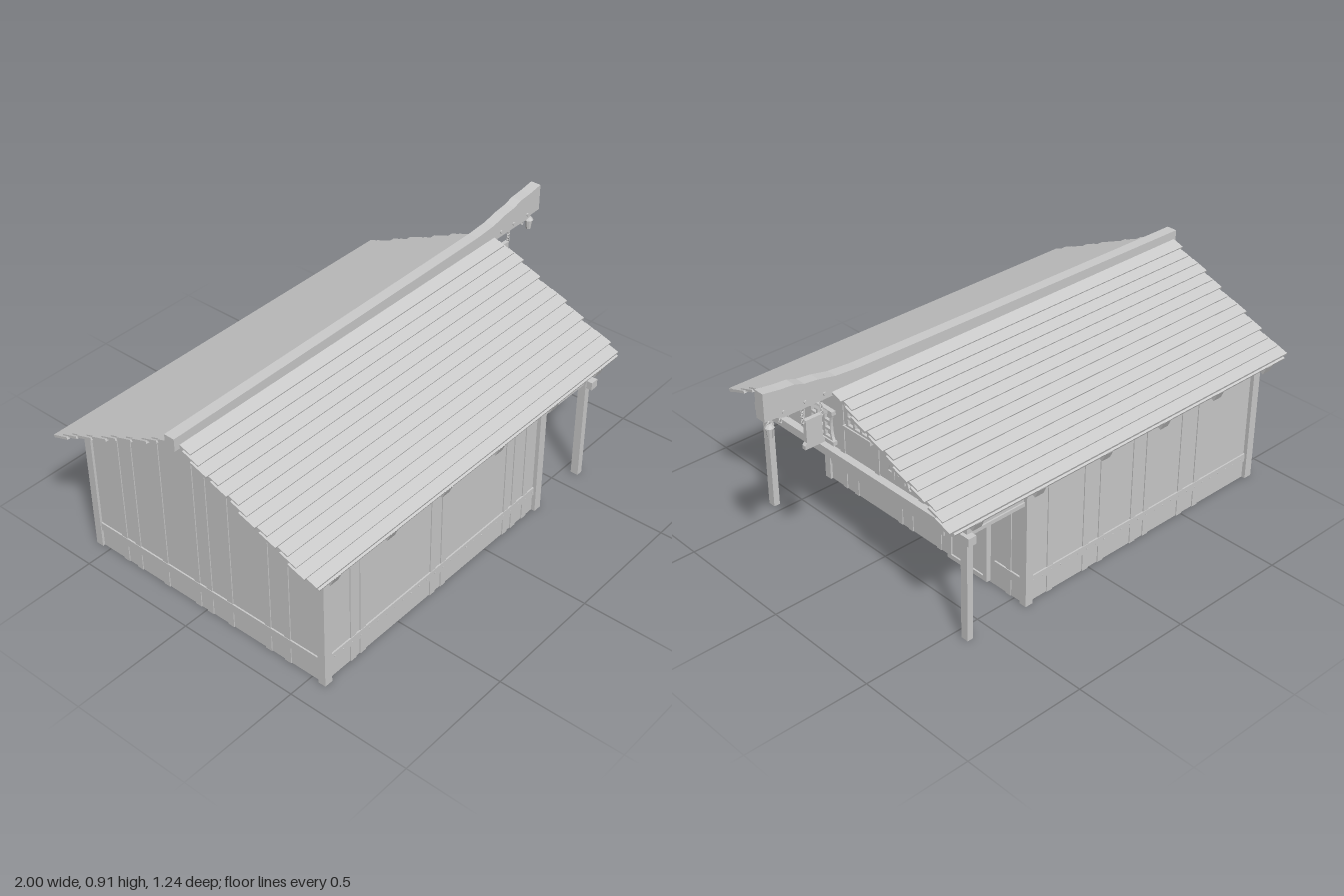
import * as THREE from 'three';

const mat = new THREE.MeshStandardMaterial({ color: 0xcccccc, flatShading: true, side: THREE.DoubleSide });

function add(parent, name, geo, x = 0, y = 0, z = 0) {
  const m = new THREE.Mesh(geo, mat);
  m.name = name;
  m.position.set(x, y, z);
  parent.add(m);
  return m;
}

// box given by its limits
function box(parent, name, x0, x1, y0, y1, z0, z1) {
  return add(parent, name, new THREE.BoxGeometry(x1 - x0, y1 - y0, z1 - z0),
    (x0 + x1) / 2, (y0 + y1) / 2, (z0 + z1) / 2);
}

const poly = pts => new THREE.Shape(pts.map(p => new THREE.Vector2(...p)));
const rect = (x0, x1, y0, y1) => [[x0, y0], [x1, y0], [x1, y1], [x0, y1]];
const extrude = (shape, depth) => new THREE.ExtrudeGeometry(shape, { depth, bevelEnabled: false, curveSegments: 6 });

// cross-section in the z-y plane swept from x0 to x1
function sweepX(parent, name, pts, x0, x1) {
  const m = add(parent, name, extrude(poly(pts), x1 - x0), x0);
  m.rotation.y = Math.PI / 2;
  return m;
}

// group whose local +z looks along +x, placed on the gable at (x, y, z)
function onGable(parent, name, x, y, z) {
  const g = new THREE.Group();
  g.name = name;
  g.position.set(x, y, z);
  g.rotation.y = Math.PI / 2;
  parent.add(g);
  return g;
}

// pinched frame outline
function frameShape(w, h) {
  const s = new THREE.Shape(), a = w / 2, b = h / 2, c = a - 0.016;
  s.moveTo(-a, -b);
  s.lineTo(a, -b);
  s.quadraticCurveTo(c, -b + 0.015, c, 0);
  s.quadraticCurveTo(c, b - 0.015, a, b);
  s.lineTo(-a, b);
  s.quadraticCurveTo(-c, b - 0.015, -c, 0);
  s.quadraticCurveTo(-c, -b + 0.015, -a, -b);
  return s;
}

// lattice window with 3 x 3 openings and an optional raised shutter
function latticeWindow(parent, x, y, z, w, h, shutter) {
  const g = onGable(parent, 'latticeWindow', x, y, z);
  const s = frameShape(w, h);
  for (let i = -1; i <= 1; i++) for (let j = -1; j <= 1; j++) {
    const cx = i * 0.038, cy = j * 0.034;
    s.holes.push(poly(rect(cx - 0.014, cx + 0.014, cy - 0.012, cy + 0.012)));
  }
  add(g, 'windowFrame', extrude(s, 0.014));
  for (const k of [-1, 1]) box(g, 'windowSill', -w / 2 - 0.003, w / 2 + 0.003, k * h / 2 - 0.008, k * h / 2 + 0.008, 0, 0.02);
  if (shutter) {
    const p = add(g, 'raisedShutter', new THREE.BoxGeometry(0.105, 0.12, 0.01), 0, h / 2 + 0.025, 0.05);
    p.rotation.x = 0.85;
  }
}

export function createModel() {
  const house = new THREE.Group();
  house.name = 'timberHouse';

  // main body and overhanging upper storey
  const gable = base => [[-0.55, base], [0.55, base], [0.55, 0.545], [0, 0.785], [-0.55, 0.545]];
  sweepX(house, 'walls', gable(0), -0.89, 0.32);
  sweepX(house, 'upperStorey', gable(0.43), 0.32, 0.59);

  // corner posts, porch posts and the beam carrying the gable
  for (const s of [-1, 1]) {
    for (const [x0, x1] of [[-0.9, -0.865], [0.295, 0.33]])
      box(house, 'cornerPost', x0, x1, 0, 0.515, s * 0.55 - 0.016, s * 0.55 + 0.016);
    box(house, 'porchPost', 0.58, 0.606, 0, 0.51, s * 0.55 - 0.016, s * 0.55 + 0.016);
    box(house, 'porchSideBeam', 0.32, 0.59, 0.428, 0.443, s * 0.548 - 0.008, s * 0.548 + 0.008);
  }
  box(house, 'gableBeam', 0.585, 0.62, 0.417, 0.45, -0.59, 0.59);

  // skirting and vertical battens on the long walls
  const longBattens = { 1: [-0.74, -0.69, -0.31, -0.25, 0.12, 0.17, 0.24], '-1': [0.02, -0.06, -0.23, -0.3, -0.49, -0.58, 0.2] };
  for (const s of [-1, 1]) {
    box(house, 'skirting', -0.88, 0.31, 0.075, 0.11, s * 0.551 - 0.005, s * 0.551 + 0.005);
    for (const x of longBattens[s])
      box(house, 'batten', x - 0.014, x + 0.014, 0, 0.52, s * 0.55 - 0.004, s * 0.55 + 0.004);
    for (let x = -0.84; x < 0.29; x += 0.045)
      box(house, 'nail', x - 0.002, x + 0.002, 0.09, 0.094, s * 0.555 - 0.003, s * 0.555 + 0.003);
  }

  // rear gable boards
  box(house, 'rearSkirting', -0.896, -0.88, 0.075, 0.11, -0.55, 0.55);
  for (const z of [-0.41, -0.34, -0.2, -0.04, 0.02, 0.12, 0.3, 0.39])
    box(house, 'rearBatten', -0.894, -0.88, 0, 0.76 - Math.abs(z) * 0.44, z - 0.014, z + 0.014);

  // entrance wall: skirting, edge trim and battens
  for (const [z0, z1] of [[-0.13, 0.53], [-0.53, -0.4]])
    box(house, 'entranceSkirting', 0.31, 0.327, 0.075, 0.11, z0, z1);
  for (const z of [-0.47, -0.1, 0.06, 0.12, 0.38, 0.45])
    box(house, 'entranceBatten', 0.31, 0.324, 0, 0.43, z - 0.012, z + 0.012);
  box(house, 'entranceTopTrim', 0.31, 0.327, 0.41, 0.43, -0.53, 0.53);
  for (const z of [-0.44, -0.32, -0.09, 0.1, 0.33, 0.43])
    box(house, 'gableBatten', 0.58, 0.594, 0.44, 0.76 - Math.abs(z) * 0.44, z - 0.012, z + 0.012);

  // two-part door with a small grille
  const door = onGable(house, 'door', 0.32, 0, -0.27);
  const leaf = poly([[-0.105, 0.008], [0.105, 0.008], [0.105, 0.365], [0.09, 0.382], [-0.09, 0.382], [-0.105, 0.365]]);
  leaf.holes.push(poly(rect(-0.085, 0.085, 0.23, 0.36)), poly(rect(-0.085, 0.085, 0.027, 0.177)));
  add(door, 'doorFrame', extrude(leaf, 0.02));
  box(door, 'doorPanel', -0.09, 0.09, 0.02, 0.37, 0, 0.013);
  box(door, 'doorLintel', -0.14, 0.14, 0.385, 0.41, 0, 0.016);
  for (let i = -3; i <= 3; i++) {
    box(door, 'grilleBar', i * 0.009 - 0.002, i * 0.009 + 0.002, 0.257, 0.315, 0.012, 0.018);
    box(door, 'grilleBar', -0.028, 0.028, 0.284 + i * 0.009, 0.288 + i * 0.009, 0.012, 0.018);
  }

  // windows
  latticeWindow(house, 0.32, 0.243, 0.24, 0.155, 0.12, false);
  latticeWindow(house, 0.588, 0.535, 0.21, 0.145, 0.125, true);
  latticeWindow(house, 0.588, 0.635, 0, 0.145, 0.125, true);

  // closed double shutter with tree-shaped cutouts
  const closed = onGable(house, 'closedShutter', 0.588, 0.535, -0.2);
  add(closed, 'shutterFrame', extrude(frameShape(0.145, 0.13), 0.012));
  for (const s of [-1, 1]) {
    const panel = poly(rect(s * 0.027 - 0.025, s * 0.027 + 0.025, -0.05, 0.05));
    panel.holes.push(poly([[s * 0.025 - 0.011, -0.025], [s * 0.025 + 0.011, -0.025], [s * 0.025, 0.002]]));
    add(closed, 'shutterLeaf', extrude(panel, 0.006), 0, 0, 0.012);
    box(closed, 'shutterHinge', s * 0.025 - 0.013, s * 0.025 + 0.013, 0.052, 0.058, 0.01, 0.022);
  }

  // rafters, roof deck and overlapping planks
  const angle = Math.atan2(0.278, 0.62);
  for (const s of [-1, 1]) {
    for (const x of [-0.888, -0.605, -0.315, -0.015, 0.31, 0.595])
      sweepX(house, 'rafter', [[0, 0.8], [-s * 0.618, 0.522], [-s * 0.603, 0.488], [0, 0.763]], x - 0.02, x + 0.02);
    sweepX(house, 'roofDeck', [[0, 0.8], [-s * 0.618, 0.524], [-s * 0.615, 0.517], [0, 0.793]], -0.975, 0.705);
    const rows = 14;
    for (let i = 0; i < rows; i++) {
      const t = (i + 0.5) / rows, jitter = ((i * 7 + (s > 0 ? 0 : 3)) % 5) * 0.004;
      const plank = add(house, 'roofPlank', new THREE.BoxGeometry(1.685 + jitter * 2, 0.01, 0.075),
        -0.135, 0.806 - 0.272 * t, s * (0.012 + 0.585 * t));
      plank.rotation.x = s * (angle - 0.1);
    }
  }

  // ridge beam with a carved, rising nose
  const ridge = poly([[-1, 0.79], [0.92, 0.79], [0.95, 0.8], [0.998, 0.802], [0.998, 0.91], [0.93, 0.9],
    [0.87, 0.895], [0.83, 0.882], [0.77, 0.875], [0.7, 0.86], [0.6, 0.853], [0, 0.847], [-1, 0.84]]);
  add(house, 'ridgeBeam', extrude(ridge, 0.044), 0, 0, -0.022);

  // pegs through the nose, and chains below
  const chain = (x, y, links) => {
    for (let i = 0; i < links; i++) {
      const link = add(house, 'chainLink', new THREE.TorusGeometry(0.006, 0.002, 5, 8), x, y - i * 0.011, 0);
      link.scale.y = 1.3;
      link.rotation.y = i % 2 ? Math.PI / 2 : 0;
    }
  };
  for (const x of [0.75, 0.83, 0.92]) {
    const peg = add(house, 'peg', new THREE.CylinderGeometry(0.007, 0.007, 0.054, 8), x, 0.812, 0);
    peg.rotation.x = Math.PI / 2;
  }
  chain(0.75, 0.79, 7);
  chain(0.83, 0.79, 7);
  chain(0.92, 0.787, 3);
  chain(0.965, 0.797, 3);

  // hanging signboard
  const board = poly([[0.748, 0.615], [0.832, 0.615], [0.832, 0.63], [0.824, 0.64], [0.824, 0.728],
    [0.756, 0.728], [0.756, 0.64], [0.748, 0.63]]);
  add(house, 'signBoard', extrude(board, 0.016), 0, 0, -0.008);

  // small lantern
  add(house, 'lanternCap', new THREE.CylinderGeometry(0.01, 0.018, 0.012, 8), 0.965, 0.767, 0);
  add(house, 'lanternBody', new THREE.CylinderGeometry(0.015, 0.01, 0.04, 8), 0.965, 0.742, 0);

  return house;
}
